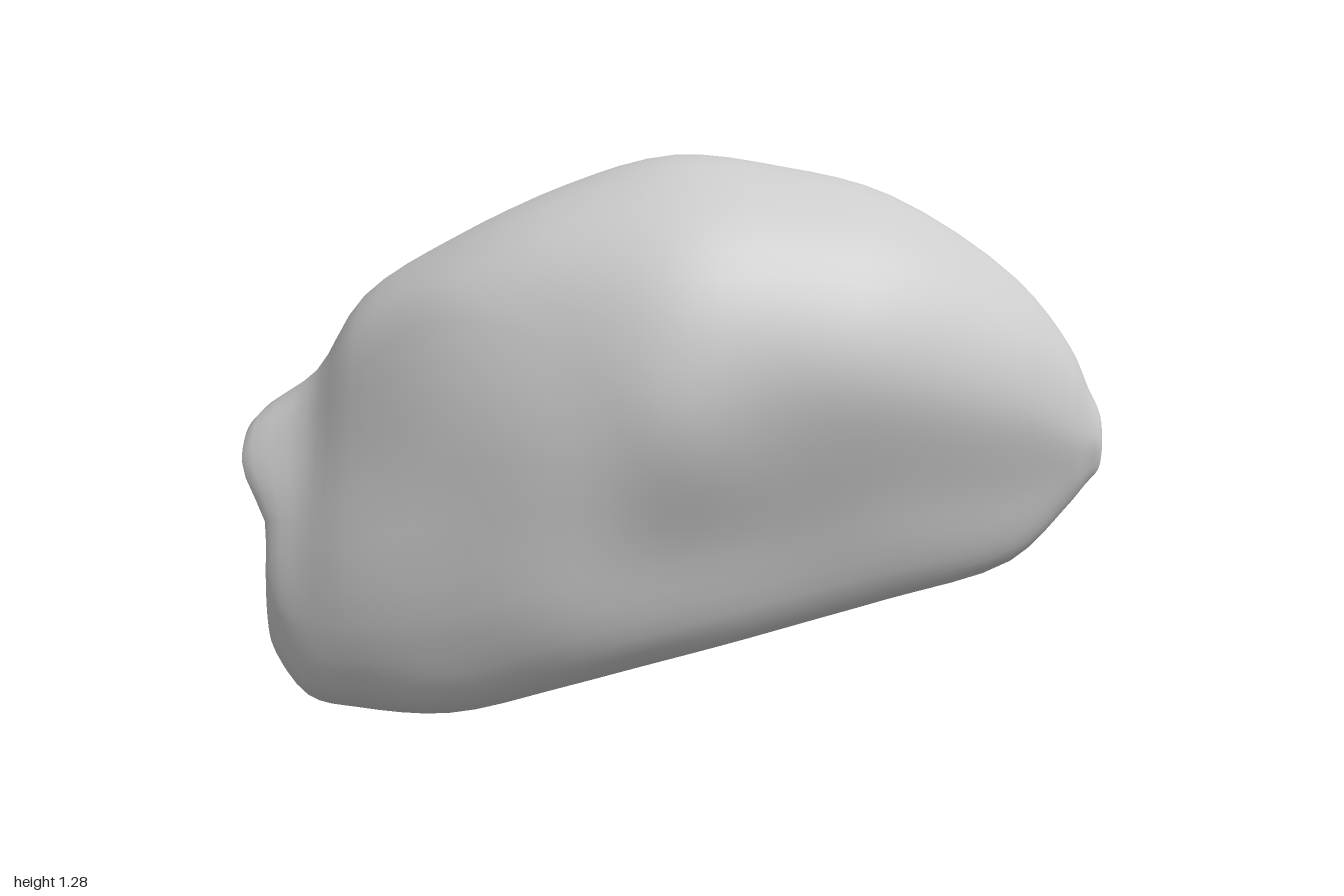
import * as THREE from 'three';

// Main outlines of the boulder at stations along its length: x, bottom y, top y,
// lower edge z, front z, front y, shoulder z, shoulder y, upper back z, upper back y, back z, back y
const STATIONS = [
  [-0.93, 0.13, 0.66, 0.19, 0.23, 0.3, 0.13, 0.58, -0.2, 0.65, -0.35, 0.54],
  [-0.84, 0.03, 0.77, 0.25, 0.3, 0.25, 0.16, 0.67, -0.29, 0.69, -0.39, 0.5],
  [-0.72, 0.01, 0.95, 0.28, 0.36, 0.25, 0.23, 0.8, -0.35, 0.77, -0.43, 0.5],
  [-0.5, 0.02, 1.09, 0.34, 0.42, 0.28, 0.33, 0.95, -0.4, 0.86, -0.49, 0.55],
  [-0.25, 0.08, 1.21, 0.34, 0.46, 0.38, 0.43, 0.91, -0.41, 0.97, -0.5, 0.6],
  [0, 0.14, 1.28, 0.29, 0.41, 0.45, 0.49, 0.8, -0.38, 1.06, -0.49, 0.64],
  [0.25, 0.2, 1.255, 0.24, 0.34, 0.5, 0.43, 0.84, -0.34, 1.06, -0.46, 0.7],
  [0.5, 0.26, 1.19, 0.18, 0.27, 0.53, 0.35, 0.82, -0.3, 1.02, -0.43, 0.73],
  [0.79, 0.335, 1, 0.09, 0.15, 0.53, 0.2, 0.74, -0.18, 0.89, -0.27, 0.69],
  [0.92, 0.46, 0.84, 0.05, 0.09, 0.57, 0.11, 0.67, -0.1, 0.77, -0.16, 0.63],
];
const AROUND = 54;
const STEPS = 4;
const { lerp, smoothstep } = THREE.MathUtils;

// One smooth closed ring: bottom, up the front, over the top, down the back
function makeRing([x, bottom, top, edgeZ, frontZ, frontY, shoulderZ, shoulderY, upperZ, upperY, backZ, backY]) {
  const points = [
    [0, bottom],
    [edgeZ, bottom + 0.03],
    [frontZ, frontY],
    [shoulderZ, shoulderY],
    [shoulderZ * 0.66, lerp(shoulderY, top, 0.73)],
    [0, top],
    [upperZ, upperY],
    [backZ, backY],
    [backZ * 0.76, lerp(bottom, backY, 0.27)],
  ].map(([z, y]) => new THREE.Vector3(x, y, z));
  return new THREE.CatmullRomCurve3(points, true).getPoints(AROUND).slice(0, AROUND);
}

const shrink = (ring, centre, amount) => ring.map((p) => p.clone().lerp(centre, amount));

function makeRock() {
  const rings = STATIONS.map(makeRing);

  // Upper front corner of the blunt end juts outward
  const blunt = rings[0];
  for (const p of blunt) p.x -= 0.07 * smoothstep(p.y, 0.42, 0.6) * (p.z + 0.4) / 0.53;

  // Close the blunt end and the rounded point
  const centre = new THREE.Vector3(-0.945, 0.38, -0.06);
  const nose = new THREE.Vector3(1.03, 0.6, 0);
  const tip = new THREE.Vector3(1, 0.6, 0);
  const pointed = rings[rings.length - 1];
  rings.unshift(shrink(blunt, centre, 1), shrink(blunt, centre, 0.5), shrink(blunt, centre, 0.12));
  rings.push(shrink(pointed, nose, 0.4), shrink(pointed, nose, 0.66), shrink(pointed, tip, 1));

  // Smooth curves lengthwise, with shallow dents worn into the sides
  const along = (rings.length - 1) * STEPS;
  const columns = blunt.map((_, i) => new THREE.CatmullRomCurve3(rings.map((ring) => ring[i])));
  const positions = [];
  const index = [];
  for (let j = 0; j <= along; j++) {
    for (let i = 0; i < AROUND; i++) {
      const p = columns[i].getPoint(j / along);
      const dent = 0.006 * Math.sin(9 * p.x + 4 * p.y) * Math.sin(11 * p.y - 5 * p.x);
      positions.push(p.x, Math.max(0, p.y), p.z + dent * Math.sin(Math.PI * j / along));
      if (j === along) continue;
      const a = j * AROUND + i;
      const b = j * AROUND + (i + 1) % AROUND;
      if (j > 0) index.push(a, a + AROUND, b);
      if (j < along - 1) index.push(b, a + AROUND, b + AROUND);
    }
  }

  const geometry = new THREE.BufferGeometry();
  geometry.setAttribute('position', new THREE.Float32BufferAttribute(positions, 3));
  geometry.setIndex(index);
  geometry.computeVertexNormals();
  return geometry;
}

export function createModel() {
  const stone = new THREE.MeshStandardMaterial({ color: 0xcccccc });
  stone.name = 'grey stone';
  const boulder = new THREE.Mesh(makeRock(), stone);
  boulder.name = 'boulder';
  const group = new THREE.Group();
  group.name = 'rock';
  group.add(boulder);
  return group;
}
